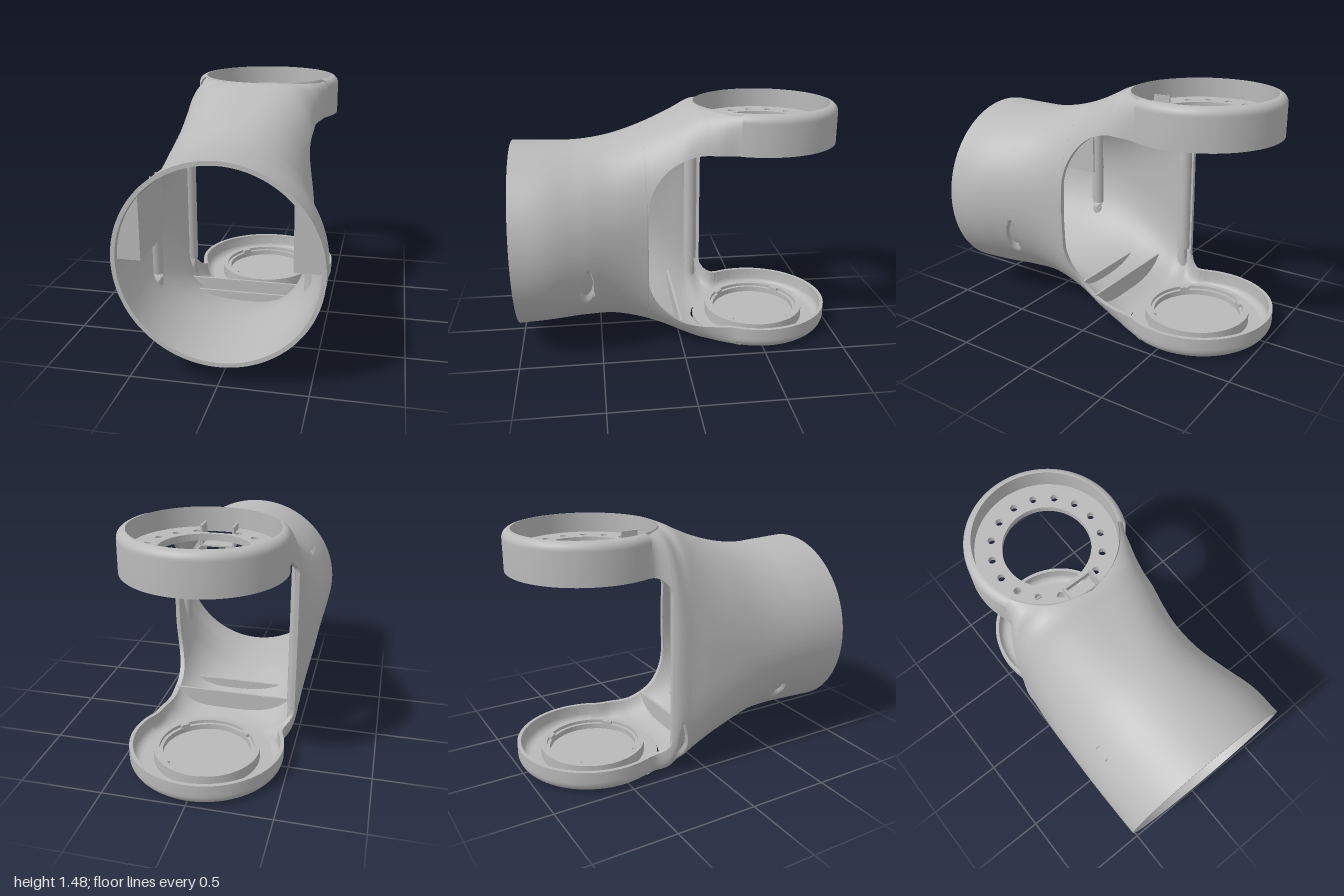
import * as THREE from 'three';
import { toCreasedNormals } from 'three/addons/utils/BufferGeometryUtils.js';

const CY = 0.69, WALL = 0.025, RING_Z = -0.53, RING_R = 0.47, BORE_R = 0.42;

// Body stations along z: [z, half width left (+x), half width right (-x), top, bottom, roundness left, right]
const STATIONS = [
  [-0.36, 0.436, 0.438, 1.48, 0, 14, 14], [-0.3, 0.412, 0.435, 1.48, 0, 11, 10],
  [-0.2, 0.403, 0.51, 1.48, 0, 6, 4.5], [-0.1, 0.404, 0.525, 1.475, 0.005, 4, 3.3],
  [0, 0.425, 0.54, 1.43, 0.035, 3.1, 2.8], [0.2, 0.415, 0.56, 1.345, 0.1, 2.5, 2.4],
  [0.4, 0.45, 0.57, 1.285, 0.135, 2.1, 2.1], [0.6, 0.51, 0.575, 1.255, 0.138, 2, 2],
  [0.8, 0.565, 0.575, 1.255, 0.13, 2, 2], [1, 0.572, 0.572, 1.262, 0.118, 2, 2],
];
const spline = new THREE.CubicInterpolant(
  STATIONS.map(s => s[0]), STATIONS.flatMap(s => s.slice(1)), 6);

// Vertical screw channels: side, distance from centre, z, and the height range of the inner post
const CHANNEL_R = 0.04;
const CHANNELS = [
  { name: 'leftPost', sx: 1, x: 0.455, z: 0.58, y0: 0.42, y1: 0.75 },
  { name: 'rightPost', sx: -1, x: 0.475, z: 0.57, y0: 0.45, y1: 1.05 },
  { name: 'rearPost', sx: -1, x: 0.475, z: -0.165, y0: 0.25, y1: 1.17 },
];

// Half axes and exponent of one quarter of the section at z
function section(z, sx, sy, inset) {
  const [l, r, top, bottom, nl, nr] = spline.evaluate(z);
  const n = sx > 0 ? nl : nr;
  return {
    a: (sx > 0 ? l : r) - inset,
    b: (sy > 0 ? Math.min(top, 1.48) - CY : CY - Math.max(bottom, 0)) - inset,
    n: sy > 0 ? n : 2 + (n - 2) * 1.6,
  };
}

// Height above or below the seam at which the side opening ends
function opening(z, sx) {
  const edge = sx > 0 ? 0.21 : -0.23, r = sx > 0 ? 0.36 : 0.1;
  if (z > edge) return 0;
  const d = Math.max(0, z - (edge - r));
  return 0.55 - r + Math.sqrt(Math.max(0, r * r - d * d));
}

// Point on a quarter section, v = 0 at the side and 1 at the crown or bore
function bodyPoint(z, v, sx, sy, inset) {
  const { a, b, n } = section(z, sx, sy, inset);
  const start = Math.asin(Math.min(1, opening(z, sx) / b) ** (n / 2));
  const d = z - RING_Z;
  const clip = d < BORE_R ? Math.sqrt(BORE_R * BORE_R - d * d) : 0;
  const end = Math.max(start, Math.acos(Math.min(1, clip / a) ** (n / 2)));
  const t = start + (end - start) * v;
  let x = a * Math.max(0, Math.cos(t)) ** (2 / n);
  const y = CY + sy * b * Math.max(0, Math.sin(t)) ** (2 / n);
  // screw channels cut into the lower half
  if (sy < 0 && !inset) for (const c of CHANNELS) {
    const k = CHANNEL_R ** 2 - (z - c.z) ** 2;
    if (c.sx === sx && k > 0 && Math.abs(x - c.x) < Math.sqrt(k)) x = c.x - Math.sqrt(k);
  }
  return [sx * x, y, z];
}

// Surface from a grid of points
function gridGeometry(rows, flip) {
  const w = rows[0].length, index = [];
  for (let i = 0; i < rows.length - 1; i++) for (let j = 0; j < w - 1; j++) {
    const a = i * w + j, b = a + 1, c = a + w, d = c + 1;
    index.push(...(flip ? [a, b, c, b, d, c] : [a, c, b, b, c, d]));
  }
  const g = new THREE.BufferGeometry();
  g.setAttribute('position', new THREE.Float32BufferAttribute(rows.flat(2), 3));
  g.setIndex(index);
  g.computeVertexNormals();
  return g;
}

export function createModel() {
  const model = new THREE.Group();
  model.name = 'forkHousing';
  const grey = new THREE.MeshStandardMaterial({ color: 0xb9b9b9, side: THREE.DoubleSide });
  grey.name = 'housing grey';
  const add = (name, geo, x = 0, y = 0, z = 0) => {
    const m = new THREE.Mesh(geo, grey);
    m.name = name;
    m.position.set(x, y, z);
    model.add(m);
    return m;
  };
  const box = (name, x0, x1, y0, y1, z0, z1) => add(name,
    new THREE.BoxGeometry(x1 - x0, y1 - y0, z1 - z0), (x0 + x1) / 2, (y0 + y1) / 2, (z0 + z1) / 2);
  const lathe = (name, pts, start = 0, length = Math.PI * 2) => add(name, toCreasedNormals(
    new THREE.LatheGeometry(pts.map(p => new THREE.Vector2(...p)), 72, start, length), 0.6), 0, 0, RING_Z);
  const extrude = (shape, depth, curveSegments = 32) =>
    new THREE.ExtrudeGeometry(shape, { depth, bevelEnabled: false, curveSegments });

  // Body shell: four quarters, each with outer skin, inner skin and rims
  const zs = [0.2101, 0.2099, 0.207, 0.195, 0.19, -0.2299, -0.2301, -0.232, -0.235];
  for (let i = 0; i <= 68; i++) zs.push(1 - i * 0.02);
  for (const c of [0.575, -0.165]) for (let i = -9; i <= 9; i++) zs.push(c + i * 0.0051);
  zs.sort((a, b) => b - a);
  const vs = Array.from({ length: 49 }, (_, i) => i / 48);
  for (const sx of [1, -1]) for (const sy of [1, -1]) {
    const name = (sy > 0 ? 'upper' : 'lower') + (sx > 0 ? 'Left' : 'Right');
    const skin = inset => zs.map(z => vs.map(v => bodyPoint(z, v, sx, sy, inset)));
    const outer = skin(0), inner = skin(WALL), flip = sx * sy > 0;
    add(name + 'OuterShell', gridGeometry(outer, !flip));
    add(name + 'InnerShell', gridGeometry(inner, flip));
    add(name + 'OpeningRim', gridGeometry(outer.map((row, i) => [inner[i][0], row[0]]), !flip));
    add(name + 'FrontRim', gridGeometry([inner[0], outer[0]], !flip));
  }

  // Upper ring: rear skirt with rounded shoulder, and bore wall
  const arc = (cx, cy, r, a0, a1) => Array.from({ length: 9 }, (_, i) => {
    const t = a0 + (a1 - a0) * i / 8;
    return [cx + r * Math.cos(t), cy + r * Math.sin(t)];
  });
  const gap = 1.12, sweep = Math.PI * 2 - gap * 2;
  lathe('upperRingSkirt', [[0.445, 1.34], [0.445, 1.24], [RING_R, 1.24],
    ...arc(0.42, 1.43, 0.05, 0, Math.PI / 2)], gap, sweep);
  lathe('upperBoreWall', [[0.428, 1.33], [0.428, 1.46], [BORE_R, 1.48], [BORE_R, 1.33]]);

  // Upper mounting flange with bolt holes and a cable notch at the front
  const half = 0.095, na = Math.asin(half / 0.425);
  const flange = new THREE.Shape();
  flange.absarc(0, 0, 0.425, -Math.PI / 2 + na, Math.PI * 1.5 - na, false);
  flange.lineTo(-half, -0.285);
  flange.lineTo(half, -0.285);
  const circle = (x, y, r) => new THREE.Path().absarc(x, y, r, 0, Math.PI * 2, true);
  flange.holes.push(circle(0, 0, 0.26));
  for (let i = 0; i < 16; i++) {
    if (i === 12) continue;
    const t = i * Math.PI / 8;
    flange.holes.push(circle(0.325 * Math.cos(t), 0.325 * Math.sin(t), 0.022));
  }
  add('upperFlange', extrude(flange, 0.04), 0, 1.32, RING_Z).rotation.x = -Math.PI / 2;

  // Cable tray under the notch
  box('cableTrayFloor', -half, half, 1.275, 1.285, -0.25, -0.12);
  for (const s of [-1, 1]) box('cableTrayWall', s * half - 0.006, s * half + 0.006, 1.275, 1.4, -0.25, -0.14);

  // Lower cup: base disc, rear rim and raised seat
  lathe('lowerBase', [[0, 0], [0.41, 0], [0.41, 0.03], [0, 0.03]]);
  lathe('lowerRim', [[0.4, 0], ...arc(0.4, 0.07, 0.07, -Math.PI / 2, 0), [RING_R, 0.14],
    [0.447, 0.14], ...arc(0.397, 0.08, 0.05, 0, -Math.PI / 2)], gap, sweep);
  lathe('lowerSeat', [[0.325, 0.03], [0.325, 0.1], [0.29, 0.1], [0.29, 0.08], [0.27, 0.08],
    [0.27, 0.045], [0, 0.045]]);
  for (let i = 0; i < 4; i++) {
    const t = Math.PI / 4 + i * Math.PI / 2;
    add('seatTab', new THREE.BoxGeometry(0.03, 0.025, 0.06),
      0.285 * Math.sin(t), 0.087, RING_Z + 0.285 * Math.cos(t)).rotation.y = t + Math.PI / 2;
  }

  // Side blocks inside the upper half of the tube
  const block = (name, sx, flat, z0, z1) => {
    const s = new THREE.Shape(), r = 0.545, top = Math.acos(flat / r);
    s.moveTo(sx * flat, 0);
    for (let i = 0; i <= 16; i++) s.lineTo(sx * r * Math.cos(top * i / 16), r * Math.sin(top * i / 16));
    add(name, extrude(s, z1 - z0), 0, CY, z0);
  };
  block('rightBlock', -1, 0.415, 0.57, 0.97);
  block('leftBlock', 1, 0.4, 0.78, 0.97);
  box('leftBlockWeb', 0.388, 0.402, CY, 0.95, 0.38, 0.8);

  // Inner half-round walls of the screw channels
  for (const c of CHANNELS) {
    const r = CHANNEL_R + 0.005;
    add(c.name, new THREE.CylinderGeometry(r, r, c.y1 - c.y0, 20, 1, true, c.sx > 0 ? Math.PI : 0, Math.PI),
      c.sx * c.x, (c.y0 + c.y1) / 2, c.z);
  }

  // Cross ribs on the floor of the neck
  for (const z of [0, 0.18]) {
    const pts = [];
    for (const sx of [-1, 1]) {
      const { a, b, n } = section(z, sx, -1, WALL * 0.6);
      const side = [];
      for (let i = 0; i <= 16; i++) {
        const y = 0.18 + (CY - b - 0.18) * Math.sin(i / 16 * Math.PI / 2);
        const k = Math.min(1, (CY - y) / b);
        side.push(new THREE.Vector2(sx * a * Math.max(0, 1 - k ** n) ** (1 / n), y));
      }
      pts.push(...(sx < 0 ? side : side.slice(0, -1).reverse()));
    }
    add('neckRib', extrude(new THREE.Shape(pts), 0.015), 0, 0, z);
  }
  return model;
}
